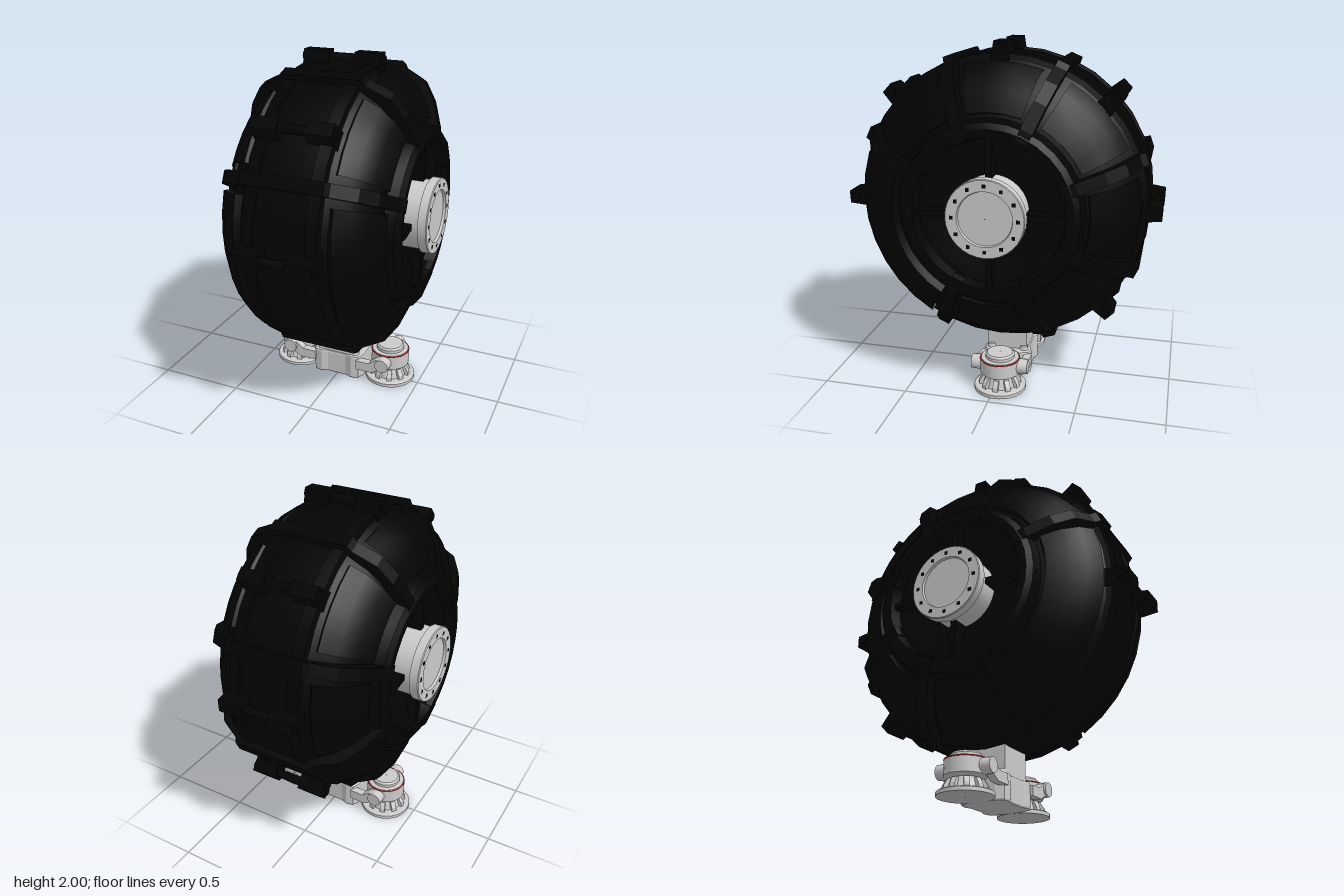
import * as THREE from 'three';
import { toCreasedNormals } from 'three/addons/utils/BufferGeometryUtils.js';

const grey = new THREE.MeshStandardMaterial({ color: 0xcccccc });
const black = new THREE.MeshStandardMaterial({ color: 0x030303, side: THREE.DoubleSide });
const red = new THREE.MeshStandardMaterial({ color: 0xcc2222 });
const rad = THREE.MathUtils.degToRad;
const ribAngles = [-160, -115, -70, -24, 19.5, 65, 155.5];

function add(parent, name, geometry, material, x = 0, y = 0, z = 0) {
  const mesh = new THREE.Mesh(geometry, material);
  mesh.name = name;
  mesh.position.set(x, y, z);
  parent.add(mesh);
  return mesh;
}

const shapeOf = (points) => new THREE.Shape(points.map(([x, y]) => new THREE.Vector2(x, y)));

// Flat slab of the given outline, centred on z
function slab(points, depth) {
  return new THREE.ExtrudeGeometry(shapeOf(points), { depth, bevelEnabled: false }).translate(0, 0, -depth / 2);
}

// Lathe about the x axis from [x, radius] points; angles run from the top towards the front
function ring(points, segments = 32, from = 0, sweep = 360) {
  const pts = points.map(([x, r]) => new THREE.Vector2(r, x));
  const g = new THREE.LatheGeometry(pts, segments, rad(from - 90), rad(sweep)).rotateZ(-Math.PI / 2);
  return toCreasedNormals(g, 0.5);
}

// Half profile [x, r] mirrored into one running from -x to +x
const mirrored = (half) => [...half.map(([x, r]) => [-x, r]), ...half.slice().reverse()];

function makeWheel() {
  const wheel = new THREE.Group();
  wheel.name = 'wheel';
  const half = [[0.39, 0.01], [0.39, 0.22], [0.43, 0.33], [0.45, 0.43], [0.425, 0.53], [0.375, 0.64],
    [0.315, 0.715], [0.235, 0.775], [0.2, 0.808], [0.08, 0.818]];
  add(wheel, 'tyreBody', ring(mirrored(half)), black);

  for (const s of [-1, 1]) {
    const sided = (pts) => (s > 0 ? pts : pts.map(([x, r]) => [-x, r]).reverse());
    // Raised bands around the tread and side walls
    add(wheel, 'treadBand', ring(sided([[0.14, 0.81], [0.145, 0.828], [0.21, 0.82], [0.22, 0.785]])), black);
    add(wheel, 'sideRing', ring(sided([[0.43, 0.51], [0.49, 0.495], [0.51, 0.465], [0.51, 0.42], [0.43, 0.4]])), black);
    // Raised shoulder panel in each gap between ribs, fuller in the wide gap
    ribAngles.forEach((a, i) => {
      const next = i < ribAngles.length - 1 ? ribAngles[i + 1] : ribAngles[0] + 360;
      const sweep = next - a - 12;
      const k = sweep > 60 ? 0.015 : 0;
      const profile = [[0.235, 0.76], [0.258 + k, 0.783 + k], [0.34 + k, 0.73 + k], [0.405 + k, 0.65 + k],
        [0.453 + k, 0.54 + k], [0.42, 0.53]];
      add(wheel, 'shoulderPanel', ring(sided(profile), Math.ceil(sweep / 11), a + 6, sweep), black);
    });
    // Narrow spokes reaching in to the hub neck
    for (const a of [0, 92, -91, 180]) {
      const outline = [[0.36, 0.19], [0.485, 0.19], [0.495, 0.32], [0.47, 0.5], [0.36, 0.5]];
      add(wheel, 'hubSpoke', slab(outline.map(([x, r]) => [s * x, r]), 0.035), black).rotation.x = rad(a);
    }
  }

  // Cross ribs following the tyre section
  const outer = [[0.48, 0.4], [0.513, 0.41], [0.513, 0.44], [0.5, 0.5], [0.445, 0.65],
    [0.375, 0.755], [0.25, 0.82], [0.23, 0.852]];
  const core = [[0.38, 0.4], [0.33, 0.55], [0.15, 0.7]];
  const rib = slab([...mirrored(outer), ...mirrored(core).reverse()], 0.07);
  for (const a of ribAngles) add(wheel, 'crossRib', rib, black).rotation.x = rad(a);

  // Paired, tapered tread pads joined by a rod
  for (const [a, r] of [[0, 0.883], [46.5, 0.895], [-46, 0.9], [92, 0.912], [-91, 0.895], [-135, 0.9]]) {
    const lug = new THREE.Group();
    lug.name = 'treadLug';
    lug.rotation.x = rad(a);
    const pad = slab([[-0.055, 0.76], [0.055, 0.76], [0.036, r], [-0.036, r]], 0.15).rotateY(Math.PI / 2);
    for (const s of [-1, 1]) add(lug, 'pad', pad, black, s * 0.152, 0, 0);
    add(lug, 'rod', new THREE.CylinderGeometry(0.026, 0.026, 0.48, 10).rotateZ(Math.PI / 2), black, 0, r - 0.04, 0);
    wheel.add(lug);
  }

  // Hub flanges with recessed centre and a bolt circle
  for (const s of [-1, 1]) {
    const hub = new THREE.Group();
    hub.name = s > 0 ? 'leftHub' : 'rightHub';
    hub.rotation.y = s > 0 ? 0 : Math.PI;
    add(hub, 'flange', ring([[0.37, 0.2], [0.52, 0.2], [0.522, 0.217], [0.57, 0.217], [0.575, 0.213],
      [0.575, 0.152], [0.56, 0.148], [0.56, 0.001]]), grey);
    for (let i = 0; i < 12; i++) {
      const a = i * Math.PI / 6;
      add(hub, 'bolt', new THREE.BoxGeometry(0.01, 0.02, 0.02), black,
        0.571, 0.18 * Math.cos(a), 0.18 * Math.sin(a));
    }
    wheel.add(hub);
  }
  wheel.position.set(0, 1.117, -0.01);
  return wheel;
}

function makeFoot(s) {
  const foot = new THREE.Group();
  foot.name = s > 0 ? 'leftFoot' : 'rightFoot';
  const profile = [[0.001, 0], [0.153, 0], [0.153, 0.02], [0.145, 0.026], [0.105, 0.028], [0.085, 0.09], [0.1, 0.098],
    [0.116, 0.104], [0.116, 0.185], [0.11, 0.195], [0.085, 0.197], [0.085, 0.215], [0.075, 0.226], [0.001, 0.226]];
  const g = new THREE.LatheGeometry(profile.map((p) => new THREE.Vector2(...p)), 28);
  add(foot, 'footBody', toCreasedNormals(g, 0.5), grey);
  add(foot, 'redRing', new THREE.TorusGeometry(0.114, 0.004, 6, 32).rotateX(Math.PI / 2), red, 0, 0.19, 0);

  // Small gussets around the skirt
  const gusset = slab([[0.08, 0.02], [0.125, 0.02], [0.122, 0.05], [0.1, 0.085], [0.08, 0.085]], 0.03);
  for (let i = 0; i < 10; i++) add(foot, 'gusset', gusset, grey).rotation.y = i * Math.PI / 5;

  // Forked arm: a pivot and a bent bar on either side
  const bar = [[0, 0.185], [0.04, 0.175], [0.085, 0.14], [0.17, 0.14], [0.17, 0.08],
    [0.07, 0.08], [0.02, 0.108], [0, 0.108]].map(([x, y]) => [-s * x, y]);
  for (const z of [-1, 1]) {
    add(foot, 'armBar', slab(bar, 0.045), grey, 0, 0, z * 0.132);
    add(foot, 'pivot', new THREE.CylinderGeometry(0.042, 0.046, 0.09, 20).rotateX(z * Math.PI / 2), grey, 0, 0.146, z * 0.122);
  }
  foot.position.set(s * 0.308, 0, -0.026);
  return foot;
}

export function createModel() {
  const model = new THREE.Group();
  model.add(makeWheel());

  // Stand: post, waisted base block and two feet
  const stand = new THREE.Group();
  stand.name = 'stand';
  add(stand, 'post', new THREE.BoxGeometry(0.23, 0.25, 0.24), grey, 0, 0.255, -0.024);
  const quarter = [[0.165, 0.09], [0.145, 0.135], [0.1, 0.145], [0.06, 0.13]];
  const flip = (sx, sz) => quarter.map(([x, z]) => [sx * x, sz * z]);
  const plan = [...flip(1, 1), ...flip(-1, 1).reverse(), ...flip(-1, -1), ...flip(1, -1).reverse()];
  const base = new THREE.ExtrudeGeometry(shapeOf(plan), {
    depth: 0.13, bevelEnabled: true, bevelSize: 0.012, bevelOffset: -0.012, bevelThickness: 0.012, bevelSegments: 2,
  }).rotateX(-Math.PI / 2);
  add(stand, 'baseBlock', base, grey, 0, 0.012, -0.026);
  for (const x of [-1, 1]) {
    for (const z of [-1, 1]) {
      add(stand, 'cornerStud', new THREE.CylinderGeometry(0.022, 0.028, 0.03, 12), grey, x * 0.11, 0.162, -0.026 + z * 0.1);
    }
  }
  for (const s of [-1, 1]) stand.add(makeFoot(s));
  model.add(stand);
  return model;
}
